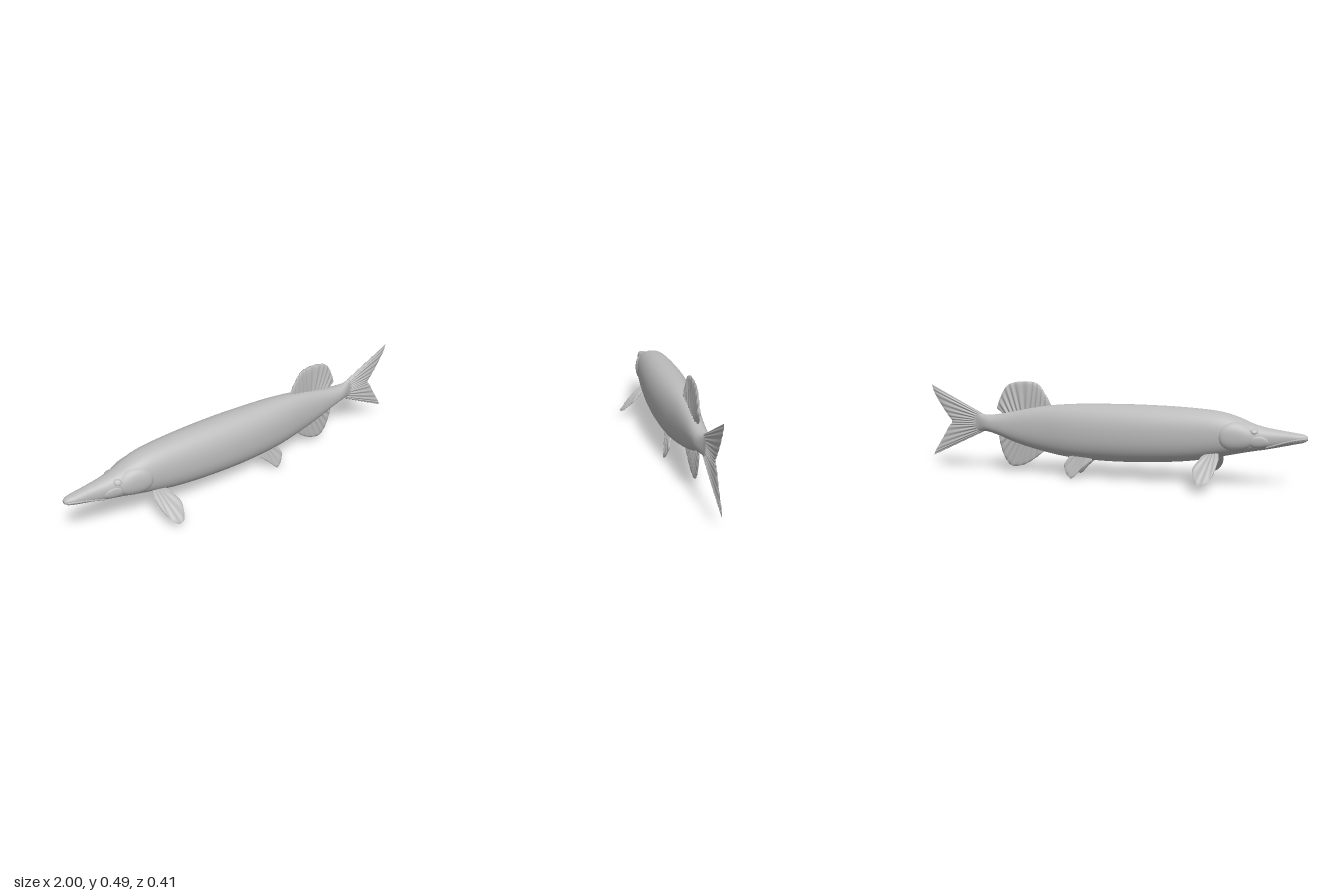
import * as THREE from 'three';

// Body stations: x, back height, belly height, half width
const STATIONS = [
  [-1, 0.266, 0.248, 0.012], [-0.985, 0.274, 0.238, 0.022], [-0.95, 0.28, 0.229, 0.03],
  [-0.88, 0.29, 0.212, 0.037], [-0.8, 0.303, 0.194, 0.05], [-0.74, 0.32, 0.183, 0.062],
  [-0.68, 0.345, 0.17, 0.075], [-0.6, 0.368, 0.152, 0.087], [-0.45, 0.383, 0.122, 0.098],
  [-0.2, 0.39, 0.1, 0.107], [0, 0.388, 0.095, 0.103], [0.2, 0.38, 0.104, 0.088],
  [0.35, 0.364, 0.128, 0.068], [0.5, 0.335, 0.165, 0.051], [0.6, 0.314, 0.2, 0.043],
  [0.66, 0.307, 0.216, 0.037], [0.7, 0.31, 0.217, 0.023], [0.73, 0.318, 0.214, 0.01],
  [0.76, 0.32, 0.215, 0.004],
];
const profile = new THREE.CubicInterpolant(
  STATIONS.map((s) => s[0]), STATIONS.flatMap((s) => s.slice(1)), 3, new Float32Array(3));
const POWER = 2.25; // roundness of the body section

// Half width of the body at a given side position
function bodyZ(x, y) {
  const [top, bottom, w] = profile.evaluate(x);
  const t = Math.min(1, Math.abs(y - (top + bottom) / 2) / ((top - bottom) / 2));
  return w * Math.pow(1 - Math.pow(t, POWER), 1 / POWER);
}

// Skins a list of closed rings and turns the faces outward
function loft(rings) {
  const n = rings[0].length;
  const index = [];
  for (let i = 0; i < rings.length - 1; i++) {
    for (let j = 0; j < n; j++) {
      const a = i * n + j, c = i * n + (j + 1) % n;
      index.push(a, c, a + n, a + n, c, c + n);
    }
  }
  const points = rings.flat();
  let volume = 0;
  const cross = new THREE.Vector3();
  for (let k = 0; k < index.length; k += 3) {
    volume += points[index[k]].dot(cross.crossVectors(points[index[k + 1]], points[index[k + 2]]));
  }
  if (volume < 0) index.reverse();
  const geometry = new THREE.BufferGeometry().setFromPoints(points);
  geometry.setIndex(index);
  geometry.computeVertexNormals();
  return geometry;
}

function bodyGeometry() {
  const rings = [], rows = 130, sides = 48;
  const ring = (x, scale) => {
    const [top, bottom, w] = profile.evaluate(x);
    const mid = (top + bottom) / 2, h = (top - bottom) / 2;
    return Array.from({ length: sides }, (_, j) => {
      const a = j / sides * Math.PI * 2, c = Math.cos(a), s = Math.sin(a);
      const round = (v) => Math.sign(v) * Math.pow(Math.abs(v), 2 / POWER) * scale;
      return new THREE.Vector3(x, mid + h * round(c), w * round(s));
    });
  };
  rings.push(ring(-1, 0));
  for (let i = 0; i <= rows; i++) rings.push(ring(-1 + 1.76 * i / rows, 1));
  rings.push(ring(0.76, 0));
  return loft(rings);
}

// Ribbed fin spread between a root line and an outer edge; place(y) gives its z
function finGeometry(root, edge, thickness, rays, place = () => 0) {
  const curve = (pts) => new THREE.CatmullRomCurve3(
    pts.map(([x, y]) => new THREE.Vector3(x, y, 0)), false, 'centripetal');
  const inner = curve(root), outer = curve(edge);
  const rows = rays * 8, steps = 10, rings = [];
  for (let i = 0; i <= rows; i++) {
    const u = i / rows, a = inner.getPoint(u), b = outer.getPoint(u);
    const ends = Math.min(1, Math.sqrt(Math.min(u, 1 - u) * 12));
    const rib = 0.72 + 0.28 * Math.cos(u * rays * Math.PI * 2);
    const side = (v, sign) => {
      const p = a.clone().lerp(b, v);
      const half = thickness / 2 * ends * rib * (0.35 + 0.65 * Math.sqrt(1 - v * v));
      p.z = place(p.y) + sign * half;
      return p;
    };
    const ring = [];
    for (let k = 0; k <= steps; k++) ring.push(side(k / steps, 1));
    for (let k = steps; k >= 0; k--) ring.push(side(k / steps, -1));
    rings.push(ring);
  }
  return loft(rings);
}

// Shallow dome that follows the side of the body
function domeGeometry(cx, cy, rx, ry, height, side) {
  const rings = [];
  for (let i = 0; i <= 12; i++) {
    const r = i / 12;
    rings.push(Array.from({ length: 32 }, (_, j) => {
      const a = j / 32 * Math.PI * 2;
      const x = cx + rx * r * Math.cos(a), y = cy + ry * r * Math.sin(a);
      return new THREE.Vector3(x, y, side * (bodyZ(x, y) - 0.003 + height * Math.sqrt(1 - r ** 4)));
    }));
  }
  return loft(rings);
}

export function createModel() {
  const fish = new THREE.Group();
  fish.name = 'fish';
  const grey = new THREE.MeshStandardMaterial({ color: 0xbcbcbc });
  grey.name = 'plain grey';
  const add = (name, geometry) => {
    const mesh = new THREE.Mesh(geometry, grey);
    mesh.name = name;
    fish.add(mesh);
  };

  add('body', bodyGeometry());

  // Fins on the centre line
  add('tailFin', finGeometry(
    [[0.67, 0.3], [0.68, 0.263], [0.67, 0.225]],
    [[1, 0.462], [0.985, 0.42], [0.94, 0.345], [0.9, 0.29], [0.88, 0.262],
      [0.9, 0.235], [0.94, 0.17], [0.985, 0.1], [1, 0.07]], 0.018, 14));
  add('dorsalFin', finGeometry(
    [[0.3, 0.35], [0.45, 0.325], [0.56, 0.3]],
    [[0.3, 0.372], [0.335, 0.43], [0.37, 0.476], [0.41, 0.49], [0.5, 0.486],
      [0.55, 0.465], [0.585, 0.41], [0.612, 0.345]], 0.026, 11));
  add('analFin', finGeometry(
    [[0.34, 0.15], [0.46, 0.18], [0.56, 0.215]],
    [[0.34, 0.127], [0.4, 0.08], [0.46, 0.046], [0.53, 0.038],
      [0.565, 0.075], [0.59, 0.14], [0.602, 0.195]], 0.022, 9));

  // Paired fins, head plates, eyes and lips
  for (const side of [1, -1]) {
    const label = side > 0 ? 'left' : 'right';
    add(label + 'PectoralFin', finGeometry(
      [[-0.585, 0.18], [-0.56, 0.185], [-0.535, 0.18]],
      [[-0.592, 0.145], [-0.575, 0.08], [-0.535, 0.038], [-0.5, 0.045],
        [-0.475, 0.1], [-0.505, 0.155]], 0.024, 5,
      (y) => side * (0.075 + (0.155 - y) * 1.05)));
    add(label + 'PelvicFin', finGeometry(
      [[0.07, 0.135], [0.11, 0.14], [0.16, 0.14]],
      [[0.06, 0.1], [0.115, 0.052], [0.165, 0.005], [0.19, 0.025],
        [0.208, 0.07], [0.185, 0.115]], 0.02, 5,
      (y) => side * (0.045 + (0.11 - y) * 0.28)));
    add(label + 'GillCover', domeGeometry(-0.67, 0.258, 0.082, 0.075, 0.012, side));
    add(label + 'Cheek', domeGeometry(-0.775, 0.235, 0.05, 0.032, 0.007, side));
    add(label + 'Eye', domeGeometry(-0.755, 0.288, 0.018, 0.014, 0.012, side));
    const lip = [[-0.99, 0.255], [-0.95, 0.25], [-0.9, 0.238], [-0.85, 0.222], [-0.81, 0.21]]
      .map(([x, y]) => new THREE.Vector3(x, y, side * (bodyZ(x, y) - 0.001)));
    add(label + 'Lip', new THREE.TubeGeometry(new THREE.CatmullRomCurve3(lip), 24, 0.005, 8));
  }
  return fish;
}
